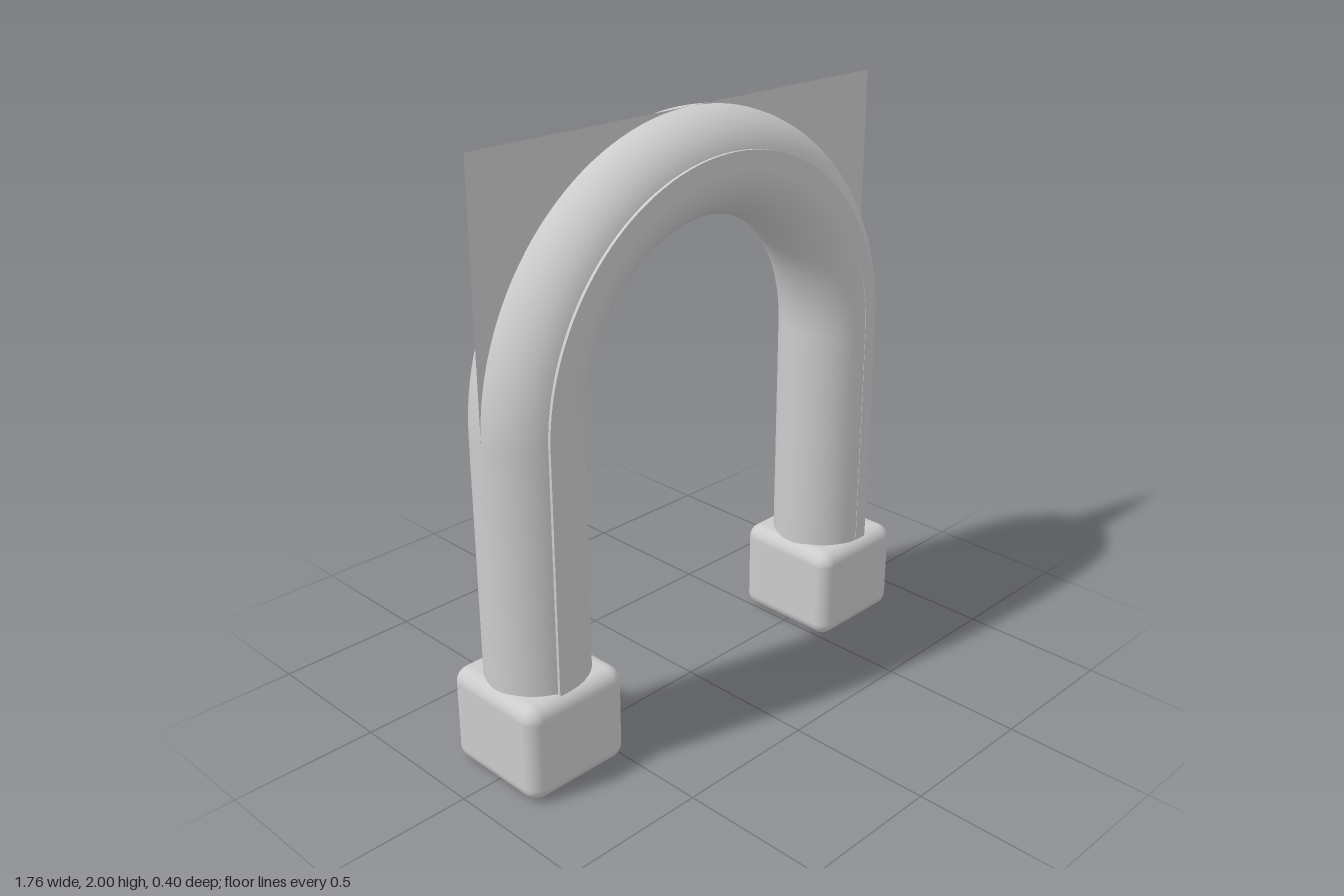
import * as THREE from 'three';
import { RoundedBoxGeometry } from 'three/addons/geometries/RoundedBoxGeometry.js';

const SPRING = 1.145; // height where the legs turn into the arch
const R = 0.685;      // centre-line radius of the arch
const TUBE = 0.17;    // tube radius
const FOOT_TOP = 0.34;

export function createModel() {
  const group = new THREE.Group();
  const material = new THREE.MeshStandardMaterial({ color: 0xcccccc });
  const sheetMaterial = new THREE.MeshStandardMaterial({ color: 0xcccccc, side: THREE.DoubleSide });

  const add = (name, geometry, x, y, z, mat = material) => {
    const mesh = new THREE.Mesh(geometry, mat);
    mesh.name = name;
    mesh.position.set(x, y, z);
    group.add(mesh);
    return mesh;
  };

  // Half-ring arch
  add('arch', new THREE.TorusGeometry(R, TUBE, 40, 64, Math.PI), 0, SPRING, 0);

  // Straight legs standing in rounded block feet
  const legBottom = 0.2;
  const legHeight = SPRING - legBottom;
  for (const [side, s] of [['left', 1], ['right', -1]]) {
    add(side + 'Leg', new THREE.CylinderGeometry(TUBE, TUBE, legHeight, 40, 1, true),
      s * R, legBottom + legHeight / 2, 0);
    add(side + 'Foot', new RoundedBoxGeometry(0.39, FOOT_TOP - 0.005, 0.395, 5, 0.05),
      s * R, FOOT_TOP / 2, 0);
  }

  // Narrow raised seam on front and back, following the whole tube
  const inner = 0.69, outer = 0.74, depth = 0.342;
  const seam = new THREE.Shape();
  seam.moveTo(outer, 0.25);
  seam.lineTo(outer, SPRING);
  seam.absarc(0, SPRING, outer, 0, Math.PI, false);
  seam.lineTo(-outer, 0.25);
  seam.lineTo(-inner, 0.25);
  seam.lineTo(-inner, SPRING);
  seam.absarc(0, SPRING, inner, Math.PI, 0, true);
  seam.lineTo(inner, 0.25);
  seam.closePath();
  add('seam', new THREE.ExtrudeGeometry(seam, { depth, bevelEnabled: false, curveSegments: 48 }),
    0, 0, -depth / 2);

  // Thin sheet filling the upper corners outside the arch
  const w = R + TUBE;
  const sheet = new THREE.Shape();
  sheet.moveTo(w, SPRING);
  sheet.lineTo(w, 2);
  sheet.lineTo(-w, 2);
  sheet.lineTo(-w, SPRING);
  sheet.lineTo(-R, SPRING);
  sheet.absarc(0, SPRING, R, Math.PI, 0, true);
  sheet.closePath();
  add('cornerSheet', new THREE.ShapeGeometry(sheet, 48), 0, 0, 0, sheetMaterial);

  return group;
}
